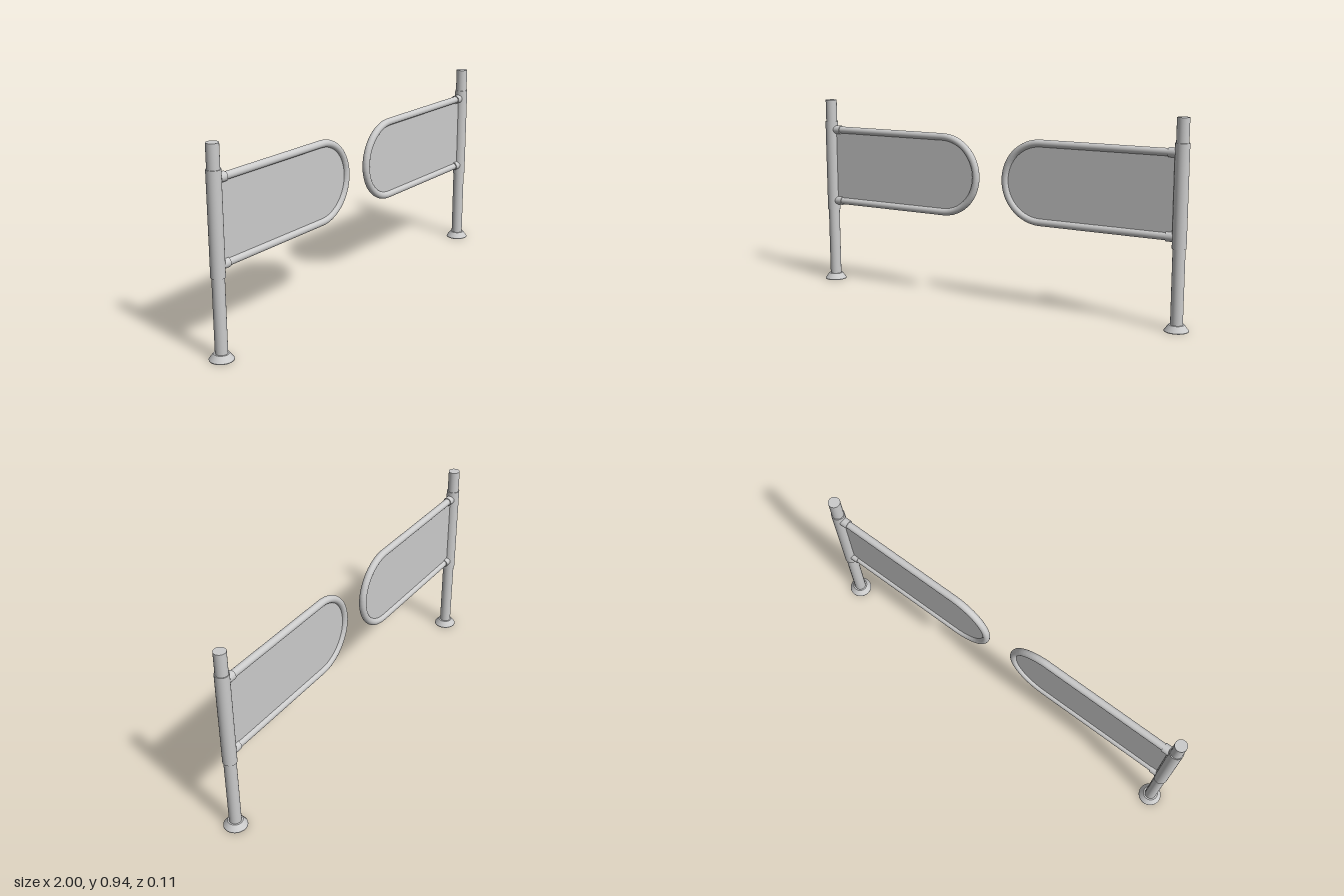
import * as THREE from 'three';

const POST_X = 0.944, TOP = 0.792, BOTTOM = 0.421;
const MID = (TOP + BOTTOM) / 2, R = (TOP - BOTTOM) / 2;
const ARC_X = 0.08 + R; // centre of the rounded gate end

const material = new THREE.MeshStandardMaterial({ color: 0xcccccc });

function add(group, name, geometry, x = 0, y = 0) {
  const mesh = new THREE.Mesh(geometry, material);
  mesh.name = name;
  mesh.position.set(x, y, 0);
  group.add(mesh);
  return mesh;
}

function upright(group, name, rTop, rBottom, y0, y1) {
  add(group, name, new THREE.CylinderGeometry(rTop, rBottom, y1 - y0, 40), POST_X, (y0 + y1) / 2);
}

// Post and gate leaf on the +x side; turned half round for the other side
function createLeaf(name) {
  const leaf = new THREE.Group();
  leaf.name = name;

  // Post with flared foot and rotating sleeve
  upright(leaf, 'foot', 0.035, 0.055, 0.003, 0.03);
  upright(leaf, 'footRim', 0.055, 0.055, 0, 0.003);
  upright(leaf, 'post', 0.028, 0.028, 0.01, 0.945);
  upright(leaf, 'sleeve', 0.032, 0.032, 0.373, 0.835);

  // One bent tube: lower rail, round end, upper rail
  const rail = new THREE.CurvePath();
  const points = [];
  for (let i = 0; i <= 32; i++) {
    const a = -Math.PI / 2 - (Math.PI * i) / 32;
    points.push(new THREE.Vector3(ARC_X + R * Math.cos(a), MID + R * Math.sin(a), 0));
  }
  points.unshift(new THREE.Vector3(POST_X - 0.02, BOTTOM, 0));
  points.push(new THREE.Vector3(POST_X - 0.02, TOP, 0));
  for (let i = 1; i < points.length; i++) rail.add(new THREE.LineCurve3(points[i - 1], points[i]));
  add(leaf, 'railFrame', new THREE.TubeGeometry(rail, 240, 0.0175, 20, false));

  // Collars joining the rails to the sleeve
  for (const y of [TOP, BOTTOM]) {
    const collar = add(leaf, 'railCollar', new THREE.CylinderGeometry(0.022, 0.022, 0.05, 24), 0.909, y);
    collar.rotation.z = Math.PI / 2;
  }

  // Thin infill panel
  const outline = new THREE.Shape();
  outline.moveTo(POST_X - 0.02, BOTTOM);
  outline.lineTo(POST_X - 0.02, TOP);
  outline.lineTo(ARC_X, TOP);
  outline.absarc(ARC_X, MID, R, Math.PI / 2, Math.PI * 1.5, false);
  outline.closePath();
  const panel = new THREE.ExtrudeGeometry(outline, { depth: 0.006, bevelEnabled: false, curveSegments: 32 });
  panel.translate(0, 0, -0.003);
  add(leaf, 'panel', panel);
  return leaf;
}

export function createModel() {
  const model = new THREE.Group();
  model.name = 'swingGate';
  const left = createLeaf('leftGate');
  const right = createLeaf('rightGate');
  right.rotation.y = Math.PI;
  model.add(left, right);
  return model;
}
